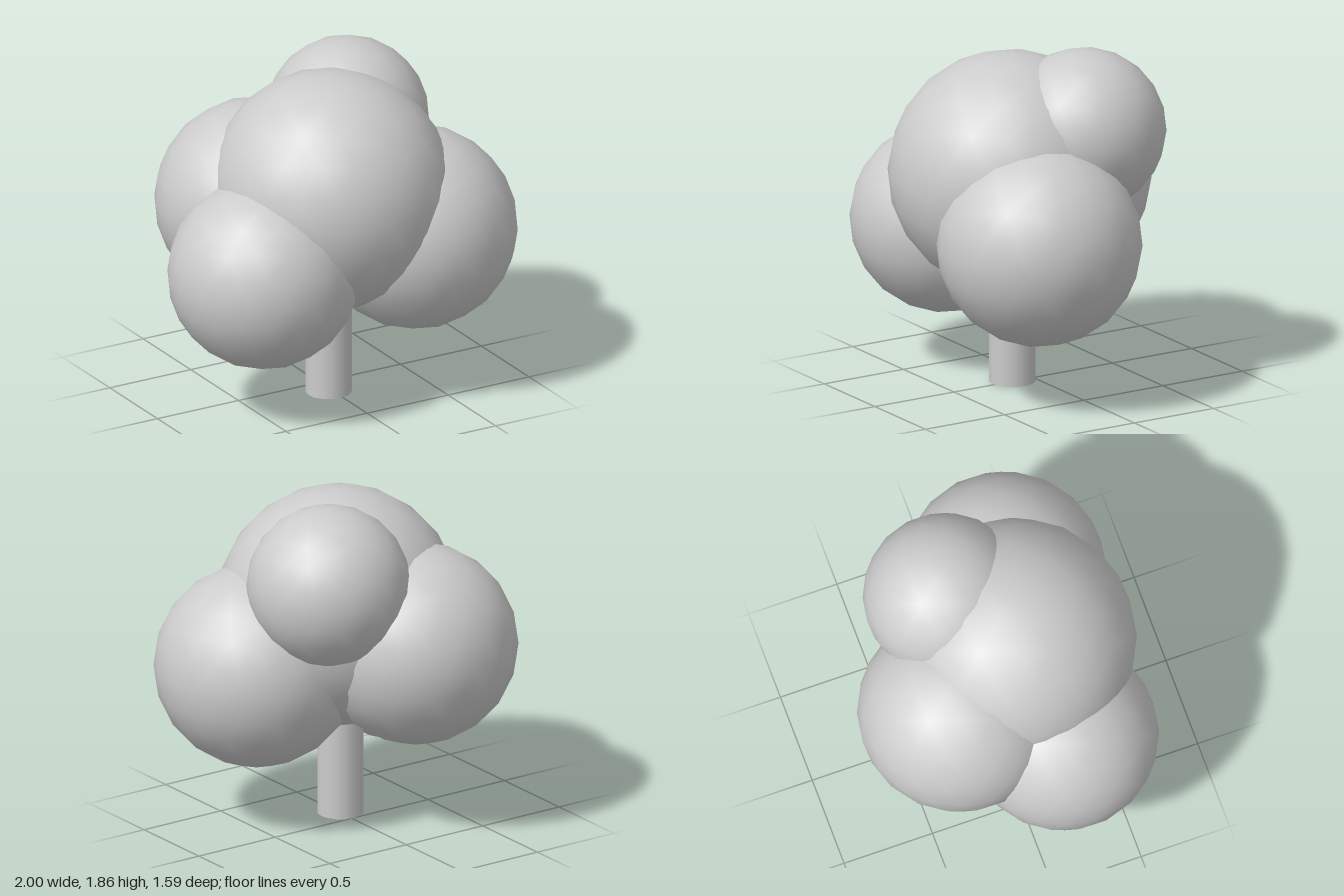
import * as THREE from 'three';

export function createModel() {
  const tree = new THREE.Group();
  tree.name = 'tree';
  const grey = new THREE.MeshStandardMaterial({ color: 0xcccccc });
  grey.name = 'plain grey';

  // Foliage lobes: name, radius, centre
  const lobes = [
    ['mainFoliage', 0.65, [-0.015, 1.17, 0.14]],
    ['rightFoliage', 0.515, [-0.485, 0.815, 0.24]],
    ['leftFoliage', 0.55, [0.445, 0.893, 0.245]],
    ['backFoliage', 0.545, [-0.24, 1.02, -0.255]],
    ['topFoliage', 0.44, [0.26, 1.42, -0.155]],
  ];
  // Smooth ball with one corner turned to point straight up
  const ball = new THREE.IcosahedronGeometry(1, 3);
  ball.rotateX(-Math.atan((1 + Math.sqrt(5)) / 2));
  for (const [name, radius, centre] of lobes) {
    const lobe = new THREE.Mesh(ball, grey);
    lobe.name = name;
    lobe.scale.setScalar(radius);
    lobe.position.set(...centre);
    tree.add(lobe);
  }

  // Trunk, running up into the foliage
  const trunk = new THREE.Mesh(new THREE.CylinderGeometry(0.125, 0.125, 0.8, 16), grey);
  trunk.name = 'trunk';
  trunk.position.set(-0.015, 0.4, 0.122);
  tree.add(trunk);

  return tree;
}
